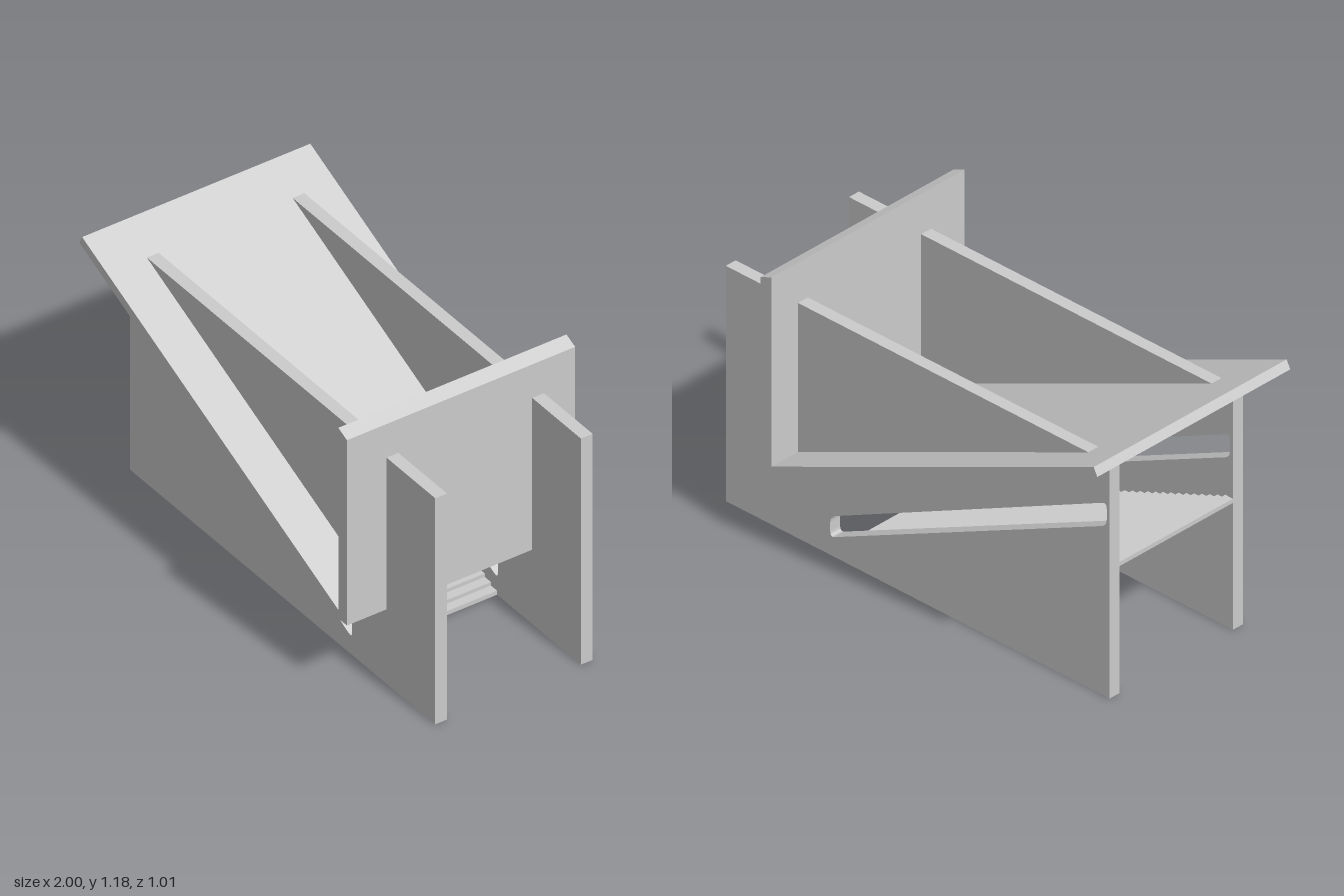
import * as THREE from 'three';

const material = new THREE.MeshStandardMaterial({ color: 0xcccccc, flatShading: true });

// Extrude an xy outline between two z positions
function slab(name, shape, z0, z1) {
  const geometry = new THREE.ExtrudeGeometry(shape, { depth: z1 - z0, bevelEnabled: false, curveSegments: 4 });
  geometry.translate(0, 0, z0);
  const mesh = new THREE.Mesh(geometry, material);
  mesh.name = name;
  return mesh;
}

const outline = (points) => new THREE.Shape(points.map(([x, y]) => new THREE.Vector2(x, y)));

// Closed path whose corners are rounded off by a distance r
function roundedPath(points, r) {
  const path = new THREE.Path();
  const corners = points.map(([x, y]) => new THREE.Vector2(x, y));
  const n = corners.length;
  const toward = (a, b) => a.clone().add(b.clone().sub(a).setLength(r));
  corners.forEach((c, i) => {
    const start = toward(c, corners[(i + n - 1) % n]);
    const end = toward(c, corners[(i + 1) % n]);
    if (i === 0) path.moveTo(start.x, start.y);
    else path.lineTo(start.x, start.y);
    path.quadraticCurveTo(c.x, c.y, end.x, end.y);
  });
  path.closePath();
  return path;
}

export function createModel() {
  const model = new THREE.Group();
  model.name = 'slantedSeat';

  // Two upright side panels, each with a sloping slot
  const panel = outline([[-0.93, 0], [1, 0], [1, 1.01], [-0.93, 1.01]]);
  panel.holes.push(roundedPath([[-0.915, 0.735], [-0.915, 0.835], [0.475, 0.165], [0.475, 0.075]], 0.025));
  model.add(slab('leftSidePanel', panel, 0.278, 0.33));
  model.add(slab('rightSidePanel', panel, -0.367, -0.315));

  // Sloping seat board and upright back board, meeting at a flat foot
  const seat = outline([[-1, 1.045], [0.625, 0.332], [0.637, 0.332], [0.637, 0.37], [-0.982, 1.08]]);
  const back = outline([[0.637, 0.332], [0.692, 0.332], [0.692, 1.16], [0.637, 1.183]]);
  model.add(slab('seatBoard', seat, -0.505, 0.505));
  model.add(slab('backBoard', back, -0.505, 0.505));

  // Stepped slats between the panels, below the slots
  const slats = new THREE.Group();
  slats.name = 'steppedSlats';
  const count = 36;
  const pitch = 1.4 / count;
  const slatGeometry = new THREE.BoxGeometry(pitch, 0.018, 0.593);
  for (let i = 0; i < count; i++) {
    const slat = new THREE.Mesh(slatGeometry, material);
    slat.name = 'slat';
    slat.position.set(0.47 - pitch * (i + 0.5), 0.009 + (0.545 * i) / (count - 1), -0.0185);
    slats.add(slat);
  }
  model.add(slats);

  return model;
}
